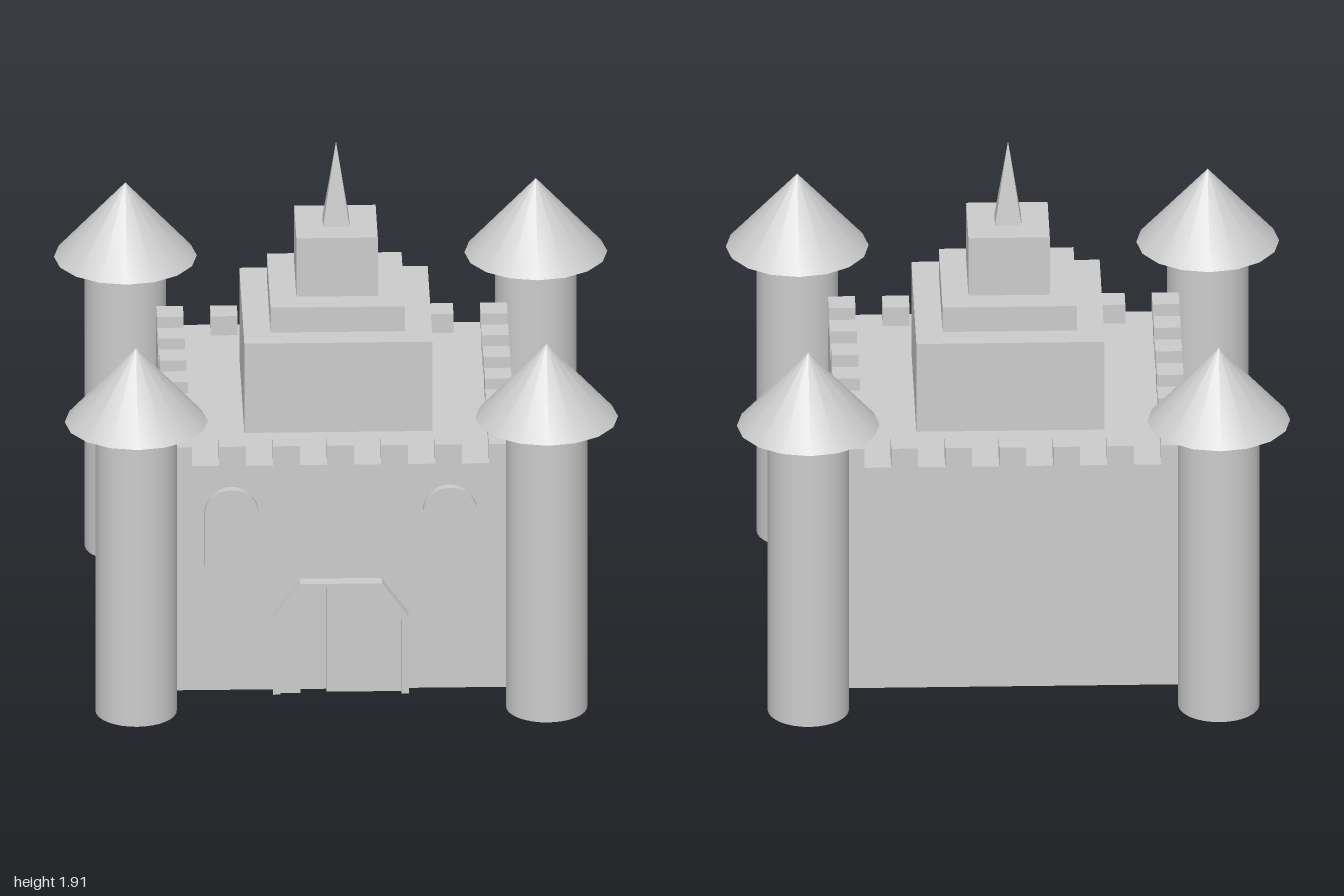
import * as THREE from 'three';

const WALL = 0.633, FLOOR = 0.03, ROOF = 0.913;
const mat = new THREE.MeshStandardMaterial({ color: 0xcccccc, side: THREE.DoubleSide });
const flatMat = new THREE.MeshStandardMaterial({ color: 0xcccccc, flatShading: true });

function add(parent, name, geometry, x = 0, y = 0, z = 0, material = mat) {
  const mesh = new THREE.Mesh(geometry, material);
  mesh.name = name;
  mesh.position.set(x, y, z);
  parent.add(mesh);
  return mesh;
}

// Box resting on y
function block(parent, name, w, h, d, x, y, z) {
  return add(parent, name, new THREE.BoxGeometry(w, h, d), x, y + h / 2, z);
}

function polygon(points) {
  return new THREE.Shape(points.map(([x, y]) => new THREE.Vector2(x, y)));
}

// Round-headed slab, base centre at the origin, running through the wall
function archSlab(halfWidth, height, depth) {
  const s = new THREE.Shape();
  s.moveTo(-halfWidth, 0);
  s.lineTo(halfWidth, 0);
  s.lineTo(halfWidth, height - halfWidth);
  s.absarc(0, height - halfWidth, halfWidth, 0, Math.PI, false);
  s.closePath();
  const g = new THREE.ExtrudeGeometry(s, { depth, bevelEnabled: false, curveSegments: 14 });
  return g.translate(0, 0, -depth / 2);
}

export function createModel() {
  const castle = new THREE.Group();
  castle.name = 'castle';

  // Main walls and roof, open underneath
  const body = new THREE.BoxGeometry(WALL * 2, ROOF - FLOOR, WALL * 2);
  const index = Array.from(body.index.array);
  index.splice(18, 6);
  body.setIndex(index);
  body.clearGroups();
  add(castle, 'walls', body, 0, (ROOF + FLOOR) / 2, 0);

  // Battlements round the roof edge
  const battlements = new THREE.Group();
  battlements.name = 'battlements';
  castle.add(battlements);
  const m = 0.097, edge = WALL - m / 2;
  for (let i = -3; i <= 3; i++) {
    const t = i * edge / 3;
    for (const s of [-1, 1]) {
      block(battlements, 'merlon', m, 0.075, m, t, ROOF, s * edge);
      if (Math.abs(i) < 3) block(battlements, 'merlon', m, 0.075, m, s * edge, ROOF, t);
    }
  }

  // Stepped keep and spire
  for (const [half, y0, y1] of [[0.34, ROOF, 1.265], [0.243, 1.265, 1.363], [0.147, 1.363, 1.593]])
    block(castle, 'keepTier', half * 2, y1 - y0, half * 2, 0, y0, 0);
  const spire = new THREE.ConeGeometry(0.048 * Math.SQRT2, 0.317, 4).rotateY(Math.PI / 4);
  add(castle, 'spire', spire, 0, 1.593 + 0.317 / 2, 0, flatMat);

  // Corner towers with cone roofs
  const shaft = new THREE.CylinderGeometry(0.147, 0.147, 1.14, 32, 1, true);
  const cone = new THREE.ConeGeometry(0.258, 0.29, 16);
  for (const x of [-0.741, 0.741]) for (const z of [-0.741, 0.741]) {
    add(castle, 'towerShaft', shaft, x, 0.57, z);
    add(castle, 'towerRoof', cone, x, 1.14 + 0.145, z);
  }

  // Windows: two in front, four on each side
  const frontWindow = archSlab(0.097, 0.3, 0.06);
  const upperWindow = archSlab(0.068, 0.207, 0.05);
  for (const s of [-1, 1]) {
    add(castle, 'frontWindow', frontWindow, s * 0.394, 0.53, WALL);
    for (const t of [-1, 1]) {
      const low = add(castle, 'lowerSideWindow', frontWindow, s * WALL, 0.14, t * 0.197);
      const high = add(castle, 'upperSideWindow', upperWindow, s * WALL, 0.56, t * 0.264);
      low.rotation.y = high.rotation.y = Math.PI / 2;
    }
  }

  // Gate: angular frame with two leaves, one standing ajar
  const gate = new THREE.Group();
  gate.name = 'gate';
  castle.add(gate);
  const frame = polygon([
    [-0.245, FLOOR], [-0.218, FLOOR], [-0.218, 0.322], [-0.132, 0.45], [0.132, 0.45], [0.218, 0.322],
    [0.218, FLOOR], [0.245, FLOOR], [0.245, 0.33], [0.148, 0.465], [-0.148, 0.465], [-0.245, 0.33]]);
  const leftLeaf = polygon([[-0.218, FLOOR], [-0.146, FLOOR], [-0.13, 0.45], [-0.132, 0.45], [-0.218, 0.322]]);
  const rightLeaf = polygon([[-0.052, FLOOR], [0.218, FLOOR], [0.218, 0.322], [0.132, 0.45], [-0.052, 0.45]]);
  for (const [name, shape, front] of [
    ['gateFrame', frame, 0.682], ['ajarLeaf', leftLeaf, 0.668], ['closedLeaf', rightLeaf, 0.66]]) {
    const depth = front - 0.61;
    add(gate, name, new THREE.ExtrudeGeometry(shape, { depth, bevelEnabled: false }), 0, 0, 0.61);
  }
  return castle;
}
